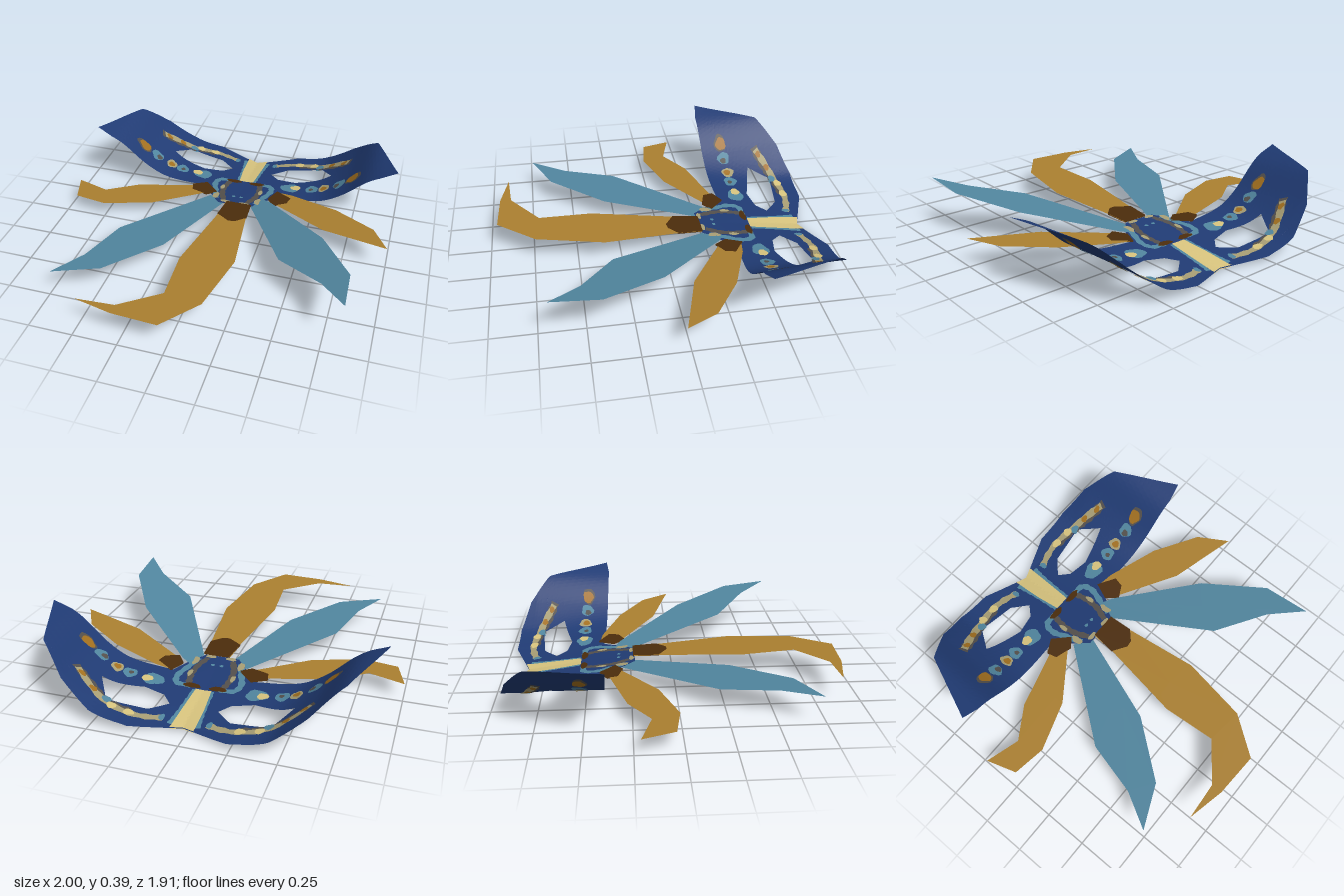
import * as THREE from 'three';

const CX = 0.03; // the mask's mirror axis

const paint = (name, color) => {
  const m = new THREE.MeshStandardMaterial({ color, side: THREE.DoubleSide });
  m.name = name;
  return m;
};

// Cross-sections of the curved mask by distance from the axis:
// pairs of heights at the brow edge (z = -0.9) and the cheek edge (z = -0.4)
const sections = new THREE.CubicInterpolant(
  [0, 0.28, 0.46, 0.54, 0.64, 0.8, 0.96],
  [0.007, 0.07, 0.037, 0.076, 0.078, 0.093, 0.13, 0.118, 0.212, 0.18, 0.36, 0.32, 0.42, 0.4], 2);
function maskHeight(x, z) {
  const [brow, cheek] = sections.evaluate(Math.abs(x - CX));
  return THREE.MathUtils.lerp(brow, cheek, Math.max(0, z + 0.86) / 0.46);
}

// Fill an [x, z] outline, split it finely and lay it on a height rule.
// Each offset adds one layer above (+) or below (-) the rule.
function drape(outline, holes, height, offsets, maxEdge) {
  const toVec = (p) => new THREE.Vector2(p[0], p[1]);
  const rim = outline.map(toVec);
  if (THREE.ShapeUtils.isClockWise(rim)) rim.reverse();
  const gaps = holes.map((h) => {
    const g = h.map(toVec);
    return THREE.ShapeUtils.isClockWise(g) ? g : g.reverse();
  });
  const all = rim.concat(...gaps);
  const out = [];
  const split = (a, b, c) => {
    const ab = a.distanceTo(b), bc = b.distanceTo(c), ca = c.distanceTo(a);
    const m = Math.max(ab, bc, ca);
    if (m <= maxEdge) out.push(a, c, b);
    else if (m === ab) { const h = a.clone().lerp(b, 0.5); split(a, h, c); split(h, b, c); }
    else if (m === bc) split(b, c, a);
    else split(c, a, b);
  };
  THREE.ShapeUtils.triangulateShape(rim, gaps).forEach(([a, b, c]) => split(all[a], all[b], all[c]));
  const pos = [];
  for (const o of offsets) for (const p of out) pos.push(p.x, height(p.x, p.y) + o, p.y);
  const geo = new THREE.BufferGeometry();
  geo.setAttribute('position', new THREE.Float32BufferAttribute(pos, 3));
  geo.computeVertexNormals();
  return geo;
}

// Irregular paint blob outline
function blob(cx, cz, rx, rz, seed) {
  return Array.from({ length: 16 }, (_, i) => {
    const a = i / 16 * Math.PI * 2;
    const r = 1 + 0.08 * Math.sin(3 * a + seed * 1.7) + 0.06 * Math.sin(5 * a + seed);
    return [cx + Math.cos(a) * rx * r, cz + Math.sin(a) * rz * r];
  });
}

// Brush stroke outline along a path, with a slightly uneven edge
function stroke(path, width) {
  const curve = new THREE.CatmullRomCurve3(path.map(([x, z]) => new THREE.Vector3(x, 0, z)));
  const n = 18, a = [], b = [];
  for (let i = 0; i <= n; i++) {
    const p = curve.getPoint(i / n), t = curve.getTangent(i / n);
    const w = width / 2 * (1 + 0.2 * Math.sin(i * 2.1));
    a.push([p.x - t.z * w, p.z + t.x * w]);
    b.unshift([p.x + t.z * w, p.z - t.x * w]);
  }
  return a.concat(b);
}

export function createModel() {
  const model = new THREE.Group();
  const blue = paint('blue', 0x203b74), ochre = paint('ochre', 0xab8030);
  const teal = paint('teal', 0x51869f), brown = paint('brown', 0x4c2d0c);
  const cream = paint('cream', 0xd8c47e), tan = paint('tan', 0xa89e74);
  const grey = paint('greyBrown', 0x54504c), orange = paint('orange', 0xa3701f);

  const add = (name, geo, mat) => {
    const m = new THREE.Mesh(geo, mat);
    m.name = name;
    model.add(m);
  };
  const side = (pts, s) => pts.map(([d, z]) => [CX + s * d, z]);
  // Paint on both faces of the mask, stacked by layer
  const mark = (name, pts, mat, layer = 1) => {
    const o = 0.002 + 0.0015 * layer;
    add(name, drape(pts, [], maskHeight, [o, -o], 0.03), mat);
  };

  // Mask sheet with two eye holes, half outline from brow notch to muzzle
  const half = [[0.265, -0.955], [0.475, -0.952], [0.645, -0.9], [0.8, -0.78], [0.955, -0.395],
    [0.86, -0.38], [0.23, -0.41], [0.17, -0.31], [0.1, -0.225]];
  const eye = [[0.135, -0.7], [0.225, -0.78], [0.45, -0.805], [0.535, -0.675], [0.31, -0.615], [0.19, -0.64]];
  const outline = [[CX, -0.855], ...side(half, 1), ...side(half, -1).reverse()];
  add('mask', drape(outline, [side(eye, 1), side(eye, -1)], maskHeight, [0], 0.03), blue);

  // Nose bridge stripe
  mark('bridgeStripe', [[-0.035, -0.878], [-0.03, -0.7], [-0.015, -0.545],
    [0.075, -0.545], [0.085, -0.7], [0.095, -0.878], [CX, -0.855]], cream, 2);

  // Mirrored brows, cheek dots and muzzle marks
  for (const s of [1, -1]) {
    mark('bridgeEdge', stroke(side([[0.078, -0.85], [0.066, -0.77], [0.056, -0.66], [0.05, -0.55]], s), 0.026), teal);
    mark('browShade', stroke(side([[0.3, -0.845], [0.44, -0.825], [0.53, -0.785], [0.645, -0.74]], s), 0.052), grey);
    mark('brow', stroke(side([[0.12, -0.82], [0.2, -0.845], [0.3, -0.857], [0.42, -0.837], [0.53, -0.8], [0.63, -0.747]], s), 0.04), tan, 2);
    for (const [d, z, rx, rz, mat] of [
      [0.3, -0.852, 0.03, 0.024, cream], [0.4, -0.845, 0.026, 0.024, cream],
      [0.44, -0.815, 0.026, 0.022, teal], [0.52, -0.8, 0.02, 0.018, orange],
      [0.6, -0.76, 0.02, 0.016, orange], [0.13, -0.82, 0.016, 0.025, teal],
    ]) mark('browSpot', blob(CX + s * d, z, rx, rz, d * 9), mat, 3);

    for (const [d, z, rx, rz, mat, layer] of [
      [0.295, -0.535, 0.062, 0.05, teal, 1], [0.33, -0.54, 0.033, 0.028, cream, 2],
      [0.435, -0.535, 0.04, 0.042, teal, 1], [0.43, -0.53, 0.014, 0.015, grey, 2],
      [0.51, -0.535, 0.033, 0.04, tan, 1], [0.51, -0.53, 0.02, 0.022, orange, 2],
      [0.605, -0.525, 0.036, 0.04, teal, 1], [0.59, -0.52, 0.017, 0.02, grey, 2],
      [0.69, -0.515, 0.046, 0.038, grey, 1], [0.685, -0.52, 0.033, 0.034, orange, 2],
    ]) mark('cheekDot', blob(CX + s * d, z, rx, rz, d * 9), mat, layer);

    mark('muzzleEdge', stroke(side([[0.08, -0.525], [0.165, -0.52], [0.185, -0.46], [0.155, -0.36], [0.125, -0.27]], s), 0.036), teal);
    mark('muzzleLine', stroke(side([[0.09, -0.54], [0.11, -0.46], [0.11, -0.36], [0.075, -0.26]], s), 0.035), grey, 2);
    mark('muzzlePatch', blob(CX + s * 0.075, -0.525, 0.05, 0.02, 2), brown, 3);
    mark('muzzleSpot', blob(CX + s * 0.135, -0.3, 0.02, 0.038, 3), tan, 3);
    mark('muzzleSpot', blob(CX + s * 0.125, -0.42, 0.014, 0.03, 4), tan, 3);
    mark('chinSpot', blob(CX + s * 0.06, -0.245, 0.032, 0.014, 5), tan, 3);
    mark('nostril', blob(CX + s * 0.025, -0.32, 0.012, 0.01, 1), teal, 3);
  }

  // Flat feathers: outline, plane height and optional dark quill base
  const feathers = [
    ['centreFeather', ochre, (x, z) => 0.1 + 0.046 * (z + 0.3),
      [[-0.02, -0.23], [-0.03, -0.08], [-0.11, 0.4], [-0.09, 0.71], [-0.3, 0.873], [-0.52, 0.888], [-0.3, 0.938],
        [-0.04, 0.952], [0.125, 0.735], [0.195, 0.345], [0.145, -0.09], [0.14, -0.23]],
      [[-0.015, -0.235], [0.14, -0.235], [0.148, -0.09], [0.09, -0.035], [0.05, -0.03], [-0.033, -0.085]]],
    ['rightLongFeather', teal, (x, z) => 0.086 + 0.07 * (z + 0.25),
      [[-0.14, -0.3], [-0.545, 0.22], [-0.625, 0.528], [-0.74, 0.733], [-0.49, 0.622], [-0.24, 0.307], [-0.04, -0.23]]],
    ['leftLongFeather', teal, (x, z) => 0.092 + 0.143 * (x - 0.14) + 0.1 * (z + 0.22),
      [[0.14, -0.23], [0.435, 0.325], [0.7, 0.515], [0.845, 0.685], [0.835, 0.415], [0.635, 0.075], [0.24, -0.31], [0.19, -0.34]]],
    ['rightShortFeather', ochre, (x, z) => 0.086 + 0.03 * (z + 0.3),
      [[-0.2, -0.42], [-0.28, -0.37], [-0.615, -0.275], [-0.8, -0.155], [-1, -0.215], [-0.945, -0.04], [-0.75, -0.01],
        [-0.465, -0.105], [-0.18, -0.31], [-0.13, -0.34]],
      [[-0.2, -0.43], [-0.11, -0.34], [-0.17, -0.295], [-0.27, -0.325], [-0.285, -0.385]]],
    ['leftShortFeather', ochre, (x, z) => 0.092 + 0.07 * (x - 0.25) + 0.03 * (z + 0.3),
      [[0.27, -0.435], [0.36, -0.42], [0.655, -0.31], [0.9, -0.15], [0.995, 0.022], [0.61, -0.088], [0.29, -0.29], [0.23, -0.35]],
      [[0.26, -0.445], [0.36, -0.38], [0.345, -0.32], [0.27, -0.28], [0.22, -0.35]]],
  ];
  for (const [name, mat, plane, pts, quill] of feathers) {
    add(name, drape(pts, [], plane, [0], 0.5), mat);
    if (quill) add(name + 'Quill', drape(quill, [], plane, [0.003, -0.003], 0.5), brown);
  }
  return model;
}
